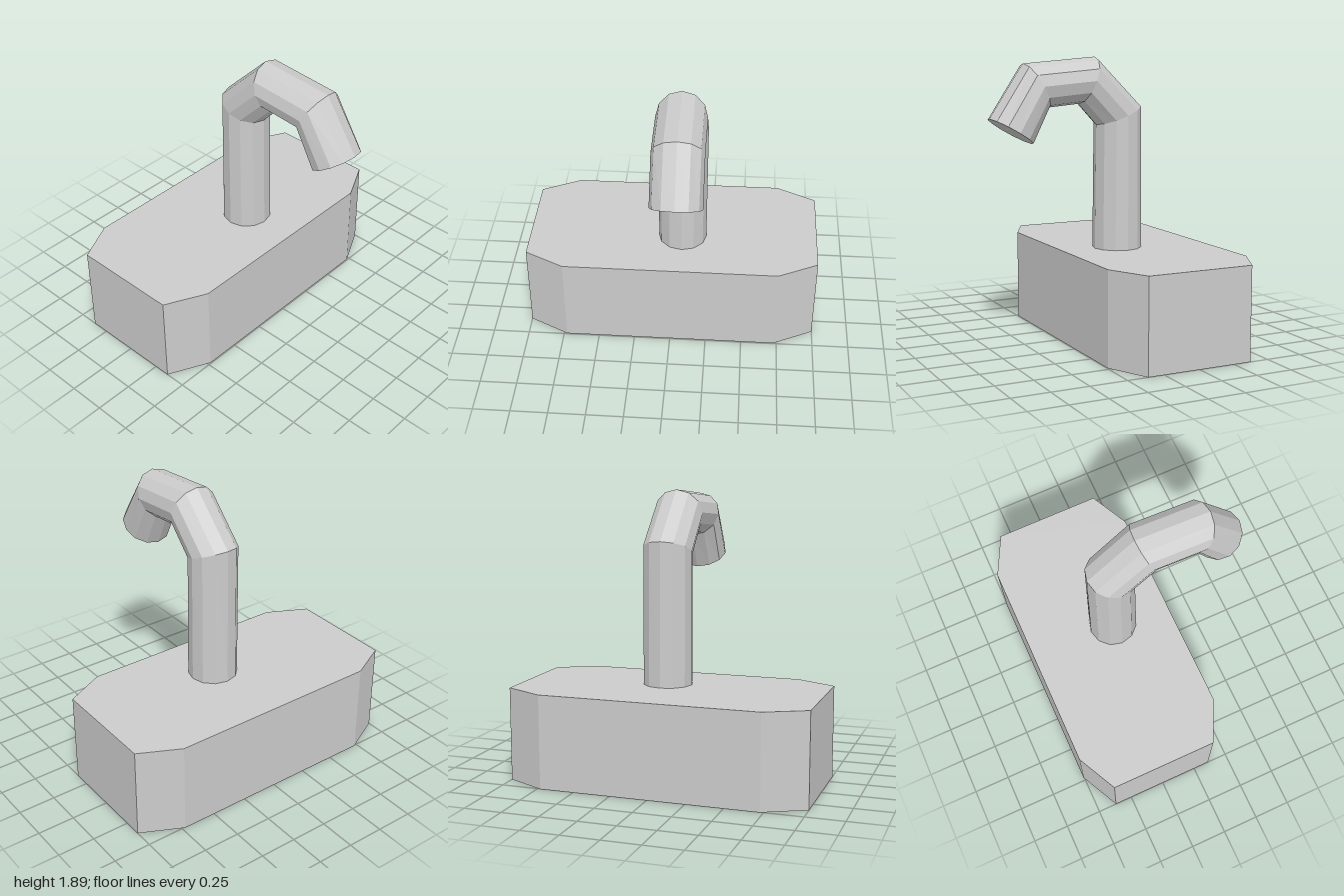
import * as THREE from 'three';

const material = new THREE.MeshStandardMaterial({ color: 0xcccccc, flatShading: true });

// Block with four cut corners
function makeBase() {
  const w = 0.5, d = 1, cx = 0.135, cz = 0.27;
  const outline = [
    [w, d - cz], [w - cx, d], [cx - w, d], [-w, d - cz],
    [-w, cz - d], [cx - w, -d], [w - cx, -d], [w, cz - d],
  ].map(([x, y]) => new THREE.Vector2(x, y));
  const geometry = new THREE.ExtrudeGeometry(new THREE.Shape(outline), { depth: 0.62, bevelEnabled: false });
  geometry.rotateX(-Math.PI / 2);
  const base = new THREE.Mesh(geometry, material);
  base.name = 'base';
  base.position.x = -0.255;
  return base;
}

// Bent pipe lofted through mitred rings, each given by its outer and inner point
function makePipe() {
  const sides = 12, radius = 0.165;
  const rings = [
    [-0.32, 0.62, 0.01, 0.62],
    [-0.31, 1.575, 0, 1.45],
    [0.015, 1.895, 0.13, 1.59],
    [0.52, 1.855, 0.355, 1.57],
    [0.75, 1.51, 0.465, 1.34],
  ];
  const positions = [], index = [];
  for (const [ox, oy, ix, iy] of rings) {
    for (let j = 0; j < sides; j++) {
      const a = (j / sides) * Math.PI * 2, t = (1 - Math.cos(a)) / 2;
      positions.push(ox + (ix - ox) * t, oy + (iy - oy) * t, radius * Math.sin(a));
    }
  }
  for (let i = 0; i < rings.length - 1; i++) {
    for (let j = 0; j < sides; j++) {
      const a = i * sides + j, b = i * sides + (j + 1) % sides;
      index.push(a, b, a + sides, b, b + sides, a + sides);
    }
  }
  // Closed ends
  const last = (rings.length - 1) * sides;
  for (let j = 1; j < sides - 1; j++) {
    index.push(last, last + j, last + j + 1, 0, j + 1, j);
  }
  const geometry = new THREE.BufferGeometry();
  geometry.setAttribute('position', new THREE.Float32BufferAttribute(positions, 3));
  geometry.setIndex(index);
  const flat = geometry.toNonIndexed();
  flat.computeVertexNormals();
  const pipe = new THREE.Mesh(flat, material);
  pipe.name = 'bentPipe';
  pipe.position.z = -0.065;
  return pipe;
}

export function createModel() {
  const model = new THREE.Group();
  model.name = 'pipeOnBase';
  model.add(makeBase(), makePipe());
  return model;
}
